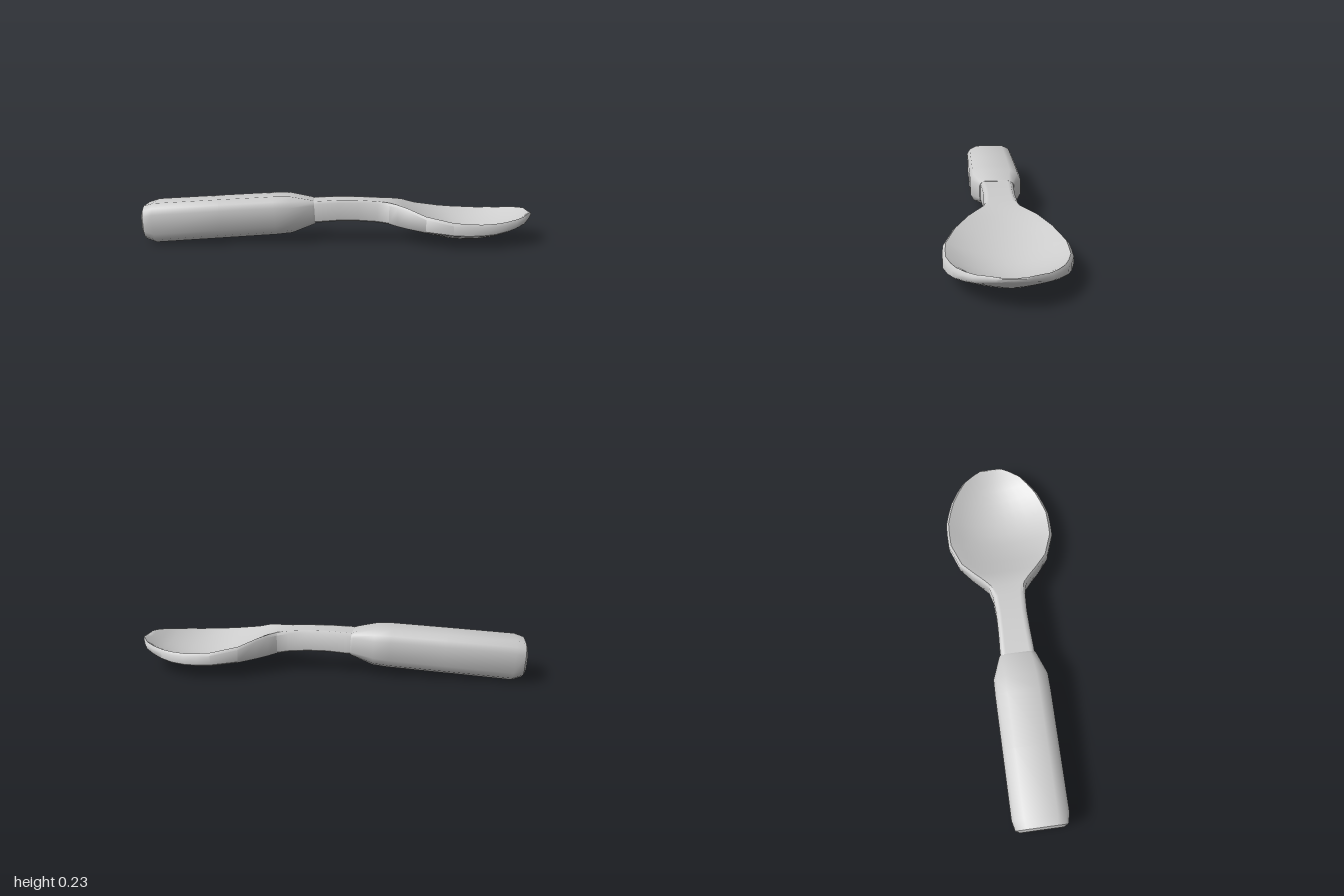
import * as THREE from 'three';
import { toCreasedNormals } from 'three/addons/utils/BufferGeometryUtils.js';

// Skin a list of closed rings that follow each other along +x, with capped ends
function loft(rings, crease) {
  const n = rings[0].length, pos = rings.flat(2), idx = [];
  for (let i = 0; i < rings.length - 1; i++) {
    for (let j = 0; j < n; j++) {
      const k = (j + 1) % n;
      const a = i * n + j, b = i * n + k, c = a + n, d = b + n;
      idx.push(a, b, c, b, d, c);
    }
  }
  const cap = (i, flip) => {
    const ring = rings[i], centre = pos.length / 3;
    pos.push(...[0, 1, 2].map((q) => ring.reduce((s, p) => s + p[q], 0) / n));
    for (let j = 0; j < n; j++) {
      const a = i * n + j, b = i * n + (j + 1) % n;
      idx.push(centre, flip ? b : a, flip ? a : b);
    }
  };
  cap(0, true);
  cap(rings.length - 1, false);
  const g = new THREE.BufferGeometry();
  g.setAttribute('position', new THREE.Float32BufferAttribute(pos, 3));
  g.setIndex(idx);
  return toCreasedNormals(g, crease);
}

// Rounded rectangle ring of the grip; each corner has two chamfers
function gripRing([x, y0, y1, w, r]) {
  const quarter = [[w - r, 0], [w - r * 0.27, r * 0.35], [w, r * 0.85]];
  const right = [
    ...quarter.map(([z, d]) => [y1 - d, z]),
    ...quarter.map(([z, d]) => [y0 + d, z]).reverse(),
  ];
  const left = right.map(([y, z]) => [y, -z]).reverse();
  // the open end leans slightly with the grip
  return [...right, ...left].map(([y, z]) => [x - (y - 0.12) * 0.07, y, z]);
}

// Ring of the stem and bowl: dished top, small bevelled rim, curved underside
function spoonRing([x, w, rim, floor, side, bottom, power]) {
  const bevel = Math.min(0.014, (rim - side) * 0.4), steps = 10, ring = [];
  for (let i = 0; i <= steps; i++) {
    const t = -1 + (2 * i) / steps;
    ring.push([x, rim + (floor - rim) * (1 - t * t), t * (w - bevel)]);
  }
  ring.push([x, rim - bevel, w], [x, side + bevel * 0.5, w]);
  for (let i = 0; i <= steps; i++) {
    const t = 1 - (2 * i) / steps;
    ring.push([x, side + (bottom - side) * (1 - Math.abs(t) ** power), t * (w - bevel * 0.7)]);
  }
  ring.push([x, side + bevel * 0.5, -w], [x, rim - bevel, -w]);
  return ring;
}

export function createModel() {
  const group = new THREE.Group();
  const material = new THREE.MeshStandardMaterial({ color: 0xcccccc });
  const add = (name, geometry) => {
    const mesh = new THREE.Mesh(geometry, material);
    mesh.name = name;
    group.add(mesh);
  };

  // Grip: x, bottom, top, half width, corner size
  add('handle', loft([
    [-0.996, 0.04, 0.165, 0.105, 0.045],
    [-0.985, 0.02, 0.188, 0.128, 0.055],
    [-0.935, 0.003, 0.203, 0.14, 0.06],
    [-0.6, 0.023, 0.221, 0.14, 0.06],
    [-0.32, 0.04, 0.235, 0.14, 0.06],
    [-0.24, 0.048, 0.235, 0.138, 0.06],
    [-0.13, 0.088, 0.214, 0.097, 0.03],
    [-0.118, 0.092, 0.21, 0.092, 0.028],
  ].map(gripRing), 0.75));

  // Stem and bowl: x, half width, rim, floor, lower side, bottom, underside power
  add('stemAndBowl', loft([
    [-0.2, 0.087, 0.203, 0.203, 0.1, 0.097, 2],
    [-0.1, 0.087, 0.21, 0.21, 0.1, 0.097, 2],
    [0, 0.082, 0.214, 0.214, 0.106, 0.103, 2],
    [0.1, 0.08, 0.213, 0.213, 0.105, 0.102, 2],
    [0.2, 0.085, 0.208, 0.208, 0.099, 0.095, 2],
    [0.26, 0.1, 0.202, 0.2, 0.092, 0.086, 2],
    [0.3, 0.132, 0.196, 0.19, 0.085, 0.077, 2],
    [0.35, 0.178, 0.184, 0.168, 0.08, 0.064, 1.8],
    [0.43, 0.24, 0.155, 0.124, 0.073, 0.042, 1.7],
    [0.56, 0.286, 0.131, 0.066, 0.064, 0.01, 1.6],
    [0.63, 0.288, 0.125, 0.048, 0.061, 0.003, 1.6],
    [0.7, 0.286, 0.122, 0.044, 0.062, 0.005, 1.6],
    [0.77, 0.266, 0.122, 0.05, 0.065, 0.014, 1.6],
    [0.83, 0.243, 0.126, 0.063, 0.075, 0.029, 1.6],
    [0.89, 0.205, 0.132, 0.083, 0.088, 0.051, 1.6],
    [0.94, 0.165, 0.14, 0.108, 0.102, 0.078, 1.6],
    [0.975, 0.108, 0.147, 0.133, 0.117, 0.104, 1.6],
    [0.993, 0.07, 0.148, 0.144, 0.125, 0.12, 1.6],
    [1, 0.055, 0.143, 0.142, 0.131, 0.128, 1.6],
  ].map(spoonRing), 0.85));

  return group;
}
